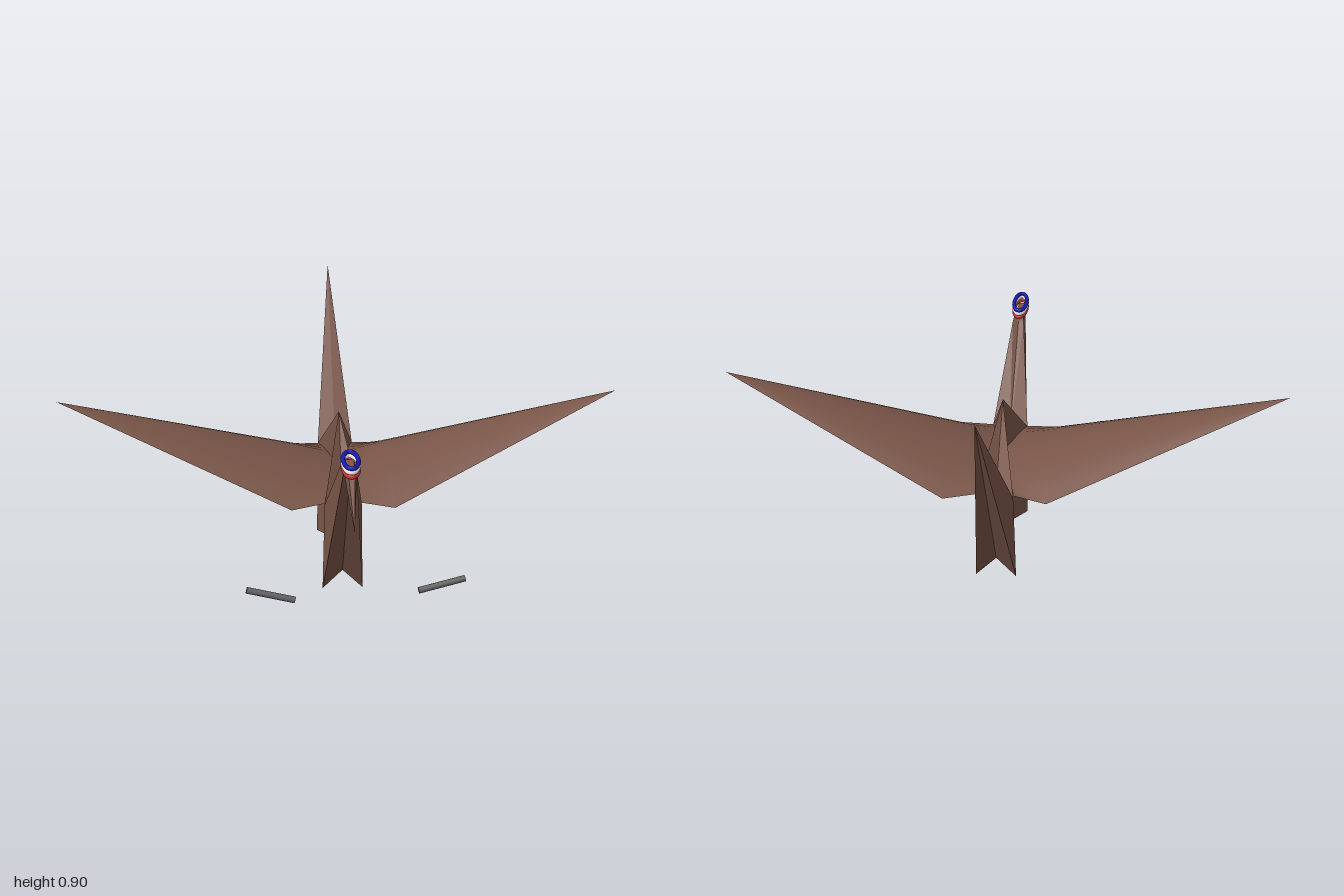
import * as THREE from 'three';

const mat = (name, color, extra = {}) => {
  const m = new THREE.MeshStandardMaterial({ color, ...extra });
  m.name = name;
  return m;
};

// Flat folded-paper mesh from polygons on the +x half, mirrored to -x
function foldedPaper(name, polygons, material) {
  const pos = [];
  for (const s of [1, -1]) {
    for (const p of polygons) {
      for (let i = 1; i < p.length - 1; i++) {
        const tri = s > 0 ? [p[0], p[i], p[i + 1]] : [p[0], p[i + 1], p[i]];
        for (const [x, y, z] of tri) pos.push(s * x, y, z);
      }
    }
  }
  const g = new THREE.BufferGeometry();
  g.setAttribute('position', new THREE.Float32BufferAttribute(pos, 3));
  g.computeVertexNormals();
  const mesh = new THREE.Mesh(g, material);
  mesh.name = name;
  return mesh;
}

// Arched wing sheet: root on the body, widest section, then the tip
function wing(name, side, material) {
  const n = 12, pos = [], idx = [];
  for (let r = 0; r < 3; r++) {
    for (let i = 0; i <= n; i++) {
      const u = (i / n) * 2 - 1;
      const p = [
        [0.065 * Math.abs(u), 0.384 - 0.03 * u * u, -0.028 + 0.265 * u],
        [0.18, 0.432 - 0.09 * u * u, -0.028 + 0.288 * u],
        [1, 0.65, -0.028],
      ][r];
      pos.push(side * p[0], p[1], p[2]);
    }
  }
  for (let r = 0; r < 2; r++) {
    for (let i = 0; i < n; i++) {
      const a = r * (n + 1) + i, b = a + 1, c = a + n + 1, d = c + 1;
      const quad = r === 0 ? [a, b, c, b, d, c] : [a, b, c];
      if (side < 0) quad.reverse();
      idx.push(...quad);
    }
  }
  const g = new THREE.BufferGeometry();
  g.setAttribute('position', new THREE.Float32BufferAttribute(pos, 3));
  g.setIndex(idx);
  g.computeVertexNormals();
  const mesh = new THREE.Mesh(g, material);
  mesh.name = name;
  return mesh;
}

// Closed elliptical cord of the headband
function bandRing(name, y, material) {
  const pts = [];
  for (let i = 0; i < 24; i++) {
    const a = (i / 24) * Math.PI * 2;
    pts.push(new THREE.Vector3(0.024 * Math.cos(a), y, 0.076 * Math.sin(a)));
  }
  const curve = new THREE.CatmullRomCurve3(pts, true);
  const mesh = new THREE.Mesh(new THREE.TubeGeometry(curve, 48, 0.0075, 8, true), material);
  mesh.name = name;
  return mesh;
}

// Thin rod between two points, with a coloured far end
function rod(name, from, to, side, end) {
  const a = new THREE.Vector3(...from), b = new THREE.Vector3(...to);
  const d = b.clone().sub(a);
  const mesh = new THREE.Mesh(new THREE.CylinderGeometry(0.011, 0.011, d.length(), 12), [side, end, side]);
  mesh.position.copy(a).add(b).multiplyScalar(0.5);
  mesh.quaternion.setFromUnitVectors(new THREE.Vector3(0, 1, 0), d.normalize());
  mesh.name = name;
  return mesh;
}

export function createModel() {
  const model = new THREE.Group();
  model.name = 'paperCrane';
  const paper = mat('brown paper', 0x795548, { side: THREE.DoubleSide, flatShading: true });
  const wingPaper = mat('brown wing paper', 0x795548, { side: THREE.DoubleSide });
  const blue = mat('blue', 0x1a1ab8);
  const white = mat('white', 0xf5f5f5);
  const red = mat('red', 0xd32f2f);
  const grey = mat('grey', 0x666666);

  // Shared fold points
  const peak = [0, 0.592, -0.025], keel = [0, 0.07, -0.025];
  const foot = [0.072, 0, 0.205], shoulder = [0.065, 0.35, 0.24];
  const chest = [0, 0.07, 0.2], nape = [0, 0.325, 0.21];
  const rearFoot = [0.072, 0, -0.255], hip = [0.065, 0.35, -0.3];
  const rump = [0, 0.07, -0.25], rearNape = [0, 0.325, -0.27];
  const tailTip = [0, 0.9, -0.82];

  // Body: two pockets meeting on the centre line, rising to a peak
  model.add(foldedPaper('body', [
    [peak, shoulder, foot, keel], [peak, shoulder, nape], [keel, foot, chest],
    [peak, hip, rearFoot, keel], [peak, hip, rearNape], [keel, rearFoot, rump],
  ], paper));

  // Neck
  const throat = [0.021, 0.65, 0.615], crown = [0.021, 0.65, 0.535];
  const throatMid = [0, 0.655, 0.605], crownMid = [0, 0.65, 0.545];
  model.add(foldedPaper('neck', [
    [foot, shoulder, crown, throat], [chest, foot, throat, throatMid],
    [nape, shoulder, crown, crownMid],
  ], paper));

  // Head and beak
  const brow = [0.014, 0.672, 0.57], front = [0.01, 0.665, 0.69], beak = [0, 0.54, 0.826];
  const browMid = [0, 0.672, 0.57], frontMid = [0, 0.665, 0.69];
  model.add(foldedPaper('head', [
    [throat, crown, brow, front, beak], [crownMid, crown, brow, browMid],
    [browMid, brow, front, frontMid], [frontMid, front, beak], [throatMid, throat, beak],
  ], paper));

  // Tail
  model.add(foldedPaper('tail', [
    [rearFoot, hip, tailTip], [rump, rearFoot, tailTip], [rearNape, hip, tailTip],
  ], paper));

  model.add(wing('leftWing', 1, wingPaper), wing('rightWing', -1, wingPaper));

  // Three-coloured headband
  const band = new THREE.Group();
  band.name = 'headband';
  band.add(bandRing('blueCord', 0.014, blue), bandRing('whiteCord', 0, white), bandRing('redCord', -0.014, red));
  band.position.set(0, 0.681, 0.628);
  band.rotation.x = -0.06;
  model.add(band);

  // Two loose rods floating in front
  model.add(rod('rightRod', [-0.34, 0.207, 0.572], [-0.18, 0.165, 0.572], grey, red));
  model.add(rod('leftRod', [0.24, 0.15, 0.505], [0.4, 0.178, 0.48], grey, red));
  return model;
}
